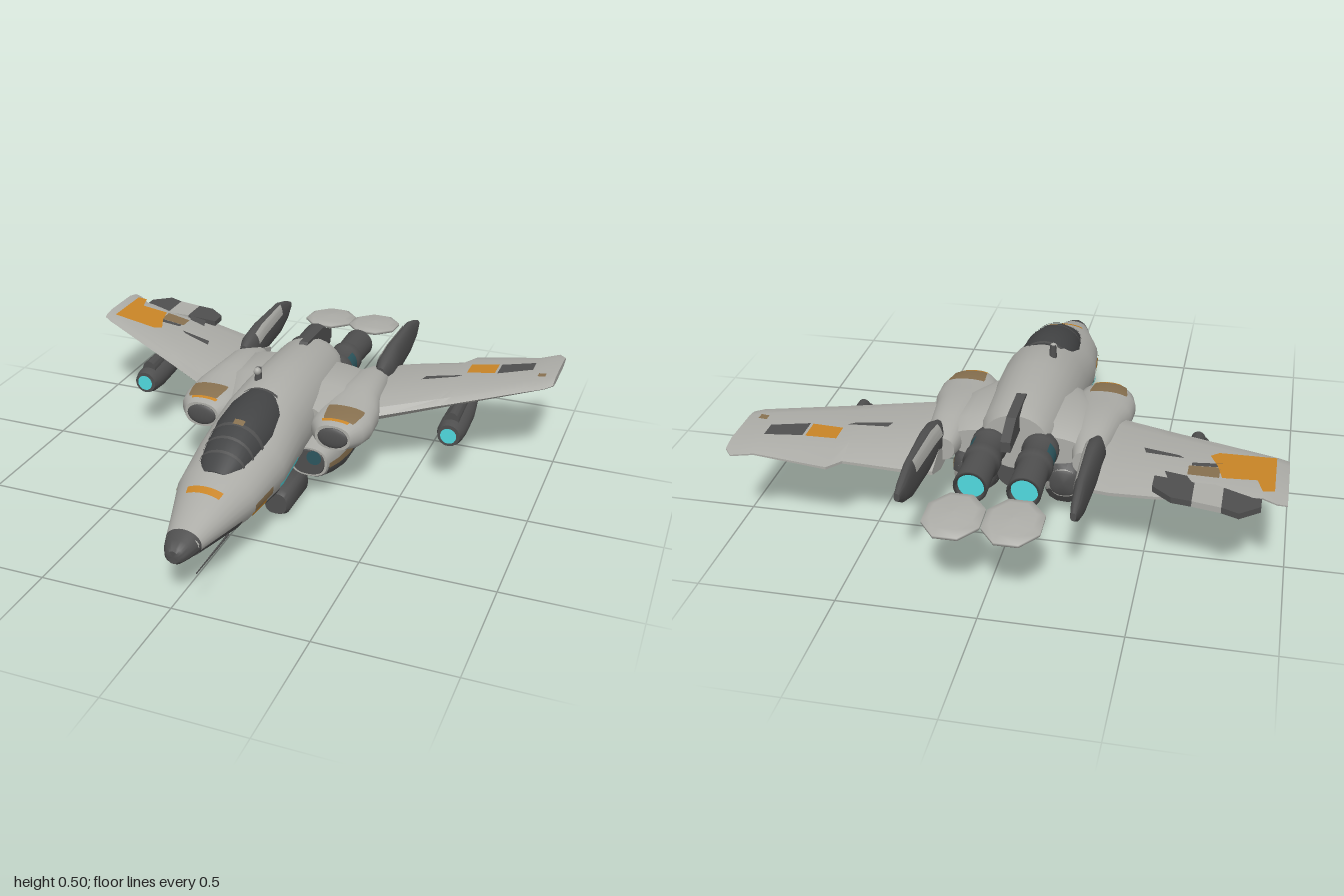
import * as THREE from 'three';
import { toCreasedNormals } from 'three/addons/utils/BufferGeometryUtils.js';

const mat = (name, color) => new THREE.MeshStandardMaterial({ name, color, side: THREE.DoubleSide });

// Joins cross-section rings into a skin; closed rings get end caps.
function skin(rings, { closed = true, flip = false, crease = 0.7 } = {}) {
  const n = rings[0].length, pos = rings.flat(2), idx = [];
  const tri = (a, b, c) => idx.push(...(flip ? [a, c, b] : [a, b, c]));
  for (let i = 0; i < rings.length - 1; i++) {
    for (let j = 0; j < (closed ? n : n - 1); j++) {
      const k = (j + 1) % n, a = i * n, b = a + n;
      tri(a + j, a + k, b + j);
      tri(a + k, b + k, b + j);
    }
  }
  if (closed) {
    [0, rings.length - 1].forEach((r, end) => {
      const c = pos.length / 3;
      pos.push(...[0, 1, 2].map(d => rings[r].reduce((s, p) => s + p[d], 0) / n));
      for (let j = 0; j < n; j++) {
        const a = r * n + j, b = r * n + (j + 1) % n;
        if (end) tri(c, a, b); else tri(c, b, a);
      }
    });
  }
  const g = new THREE.BufferGeometry();
  g.setAttribute('position', new THREE.Float32BufferAttribute(pos, 3));
  g.setIndex(idx);
  return toCreasedNormals(g, crease);
}

// Rounded cross-section arc at z, given half width, bottom and top.
function arc([z, w, yb, yt], cx = 0, p = 1, a0 = 0, a1 = 2 * Math.PI, n = 28, grow = 0) {
  const pts = [], pw = v => Math.sign(v) * Math.abs(v) ** p;
  const full = a1 - a0 > 6.28;
  for (let i = 0; i < n; i++) {
    const a = a0 + (a1 - a0) * i / (full ? n : n - 1);
    pts.push([cx + (w + grow) * pw(Math.cos(a)), (yb + yt) / 2 + ((yt - yb) / 2 + grow) * pw(Math.sin(a)), z]);
  }
  return pts;
}
const loft = (stations, cx = 0, p = 1) => skin(stations.map(s => arc(s, cx, p)));

// Stations: z, half width, bottom, top
const HULL = [[-0.38, .125, .22, .44], [-0.32, .145, .18, .46], [0, .165, .11, .47], [.2, .17, .10, .455],
  [.4, .175, .10, .385], [.62, .15, .115, .335], [.8, .092, .135, .275], [.9, .062, .15, .24]];
const LOWER = [[-.345, .05, .1, .21], [-.32, .075, .06, .235], [-.25, .09, .04, .245], [-.05, .095, .045, .245],
  [.06, .09, .075, .235], [.15, .075, .105, .225]];
const SHOULDER = [[-.42, .05, .25, .34], [-.3, .075, .23, .375], [-.14, .095, .215, .375], [-.06, .115, .215, .365],
  [.04, .12, .215, .355], [.1, .105, .22, .35], [.15, .07, .235, .335]];
const THROAT = [[-.475, .061, .249, .371], [-.405, .061, .249, .371]];

function stationAt(S, z) {
  const i = Math.max(0, Math.min(S.length - 2, S.findIndex(s => s[0] > z) - 1));
  const t = (z - S[i][0]) / (S[i + 1][0] - S[i][0]);
  return S[i].map((v, k) => v + (S[i + 1][k] - v) * t);
}
// Painted panel hugging a lofted body
function panel(S, z0, z1, deg0, deg1, cx = 0, p = 1, grow = .004) {
  const zs = [z0, ...S.map(s => s[0]).filter(z => z > z0 && z < z1), z1], r = Math.PI / 180;
  return skin(zs.map(z => arc(stationAt(S, z), cx, p, deg0 * r, deg1 * r, 15, grow)), { closed: false });
}

// Wing height and thickness along the span
const wingY = x => .29 + (Math.abs(x) - .38) * .14;
const wingT = x => Math.max(.03, .085 - (Math.abs(x) - .38) * .09);
function wing(sections, s) {
  return skin(sections.map(([x, le, te]) => {
    const y = wingY(x), h = wingT(x) / 2, at = f => le + (te - le) * f;
    return [[1, .15], [.8, 1], [.2, 1], [.06, .6], [0, 0], [.06, -.6], [.2, -1], [.8, -1], [1, -.15]]
      .map(([f, k]) => [s * x, y + h * k, at(f)]);
  }), { flip: s < 0, crease: .5 });
}
// Painted polygon on the wing's upper or lower face
function wingPaint(points, up = 1) {
  const g = new THREE.BufferGeometry(), idx = [];
  g.setAttribute('position', new THREE.Float32BufferAttribute(
    points.flatMap(([x, z]) => [x, wingY(x) + up * (wingT(x) / 2 + .004), z]), 3));
  const ccw = THREE.ShapeUtils.area(points.map(([x, z]) => new THREE.Vector2(x, z))) > 0;
  for (let i = 1; i < points.length - 1; i++) idx.push(...(ccw === (up > 0) ? [0, i + 1, i] : [0, i, i + 1]));
  g.setIndex(idx);
  g.computeVertexNormals();
  return g;
}
// Flat plate from a side outline in (z, y)
function sidePlate(points, thick) {
  const shape = new THREE.Shape(points.map(([z, y]) => new THREE.Vector2(-z, y)));
  const g = new THREE.ExtrudeGeometry(shape, { depth: thick, bevelEnabled: false });
  return g.translate(0, 0, -thick / 2).rotateY(Math.PI / 2);
}

export function createModel() {
  const model = new THREE.Group();
  const grey = mat('hullGrey', 0xacaca7), dark = mat('darkGrey', 0x4f4f4f), glass = mat('canopyGlass', 0x424344);
  const orange = mat('orangePaint', 0xc88426), tan = mat('wornTan', 0x87704f), cyan = mat('cyanGlow', 0x50d8de);
  const teal = mat('dimTeal', 0x2c565e);
  const add = (name, geo, m, x = 0, y = 0, z = 0) => {
    const mesh = new THREE.Mesh(geo, m);
    mesh.name = name;
    mesh.position.set(x, y, z);
    model.add(mesh);
    return mesh;
  };

  // Fuselage and nose
  add('fuselage', loft(HULL), grey);
  add('noseCone', loft([[.885, .067, .146, .246], [.93, .052, .15, .23], [.96, .036, .153, .218], [.97, .022, .16, .208]]), dark);
  add('chin', panel(HULL, .68, .895, 195, 345), dark);
  add('noseStripe', panel(HULL, .7, .73, 58, 122), orange);
  add('rearDeck', loft([[-.36, .25, .24, .36], [-.3, .28, .22, .39], [-.1, .27, .22, .39], [.06, .2, .23, .36]], 0, .7), grey);
  add('belly', loft([[-.33, .08, .1, .22], [-.25, .12, .06, .24], [0, .12, .07, .24], [.15, .1, .1, .22]]), dark);
  add('noseProbe', new THREE.CylinderGeometry(.002, .004, .26, 6).rotateX(Math.PI / 2), dark, .1, .165, .87);

  // Canopy and frames
  const CANOPY = [[.19, .10, .26, .46], [.26, .112, .25, .462], [.36, .114, .23, .45], [.5, .096, .24, .408], [.57, .082, .26, .37], [.63, .055, .28, .335]];
  add('canopy', loft(CANOPY), glass);
  for (const [a, b] of [[.19, .205], [.43, .445], [.5, .51], [.555, .565]]) add('canopyFrame', panel(CANOPY, a, b, 0, 180), dark);
  add('cockpitLabel', panel(CANOPY, .415, .44, 74, 95, 0, 1, .006), tan);

  // Spine details
  add('dorsalFin', sidePlate([[-.22, .44], [-.26, .47], [-.44, .465], [-.54, .42], [-.54, .38], [-.22, .38]], .036), dark);
  add('antennaMast', new THREE.CylinderGeometry(.012, .016, .05, 8), dark, -.05, .475, .1);
  add('antennaBall', new THREE.SphereGeometry(.015, 10, 8), grey, -.05, .49, .11);

  // Wings
  add('leftWing', wing([[.265, -.02, -.56], [.38, -.08, -.59], [.58, -.19, -.62], [.62, -.21, -.68], [.88, -.35, -.695], [.95, -.385, -.735], [.98, -.42, -.7]], 1), grey);
  add('rightWing', wing([[.265, -.02, -.56], [.38, -.08, -.6], [.55, -.17, -.63], [.9, -.35, -.64], [.95, -.375, -.68], [.985, -.4, -.69]], -1), grey);
  const flap = (name, m, pts) => {
    const g = new THREE.ExtrudeGeometry(new THREE.Shape(pts.map(([x, z]) => new THREE.Vector2(x, -z))), { depth: .022, bevelEnabled: false });
    add(name, g.rotateX(-Math.PI / 2), m, 0, wingY(.7) + .005, 0);
  };
  flap('outerFlap', dark, [[-.9, -.58], [-.77, -.58], [-.77, -.72], [-.83, -.745], [-.9, -.69]]);
  flap('middleFlap', grey, [[-.77, -.58], [-.67, -.58], [-.67, -.7], [-.77, -.72]]);
  flap('innerFlap', dark, [[-.67, -.58], [-.53, -.56], [-.53, -.63], [-.6, -.69], [-.67, -.7]]);

  // Wing paint
  const paints = [
    [orange, 1, [[-.94, -.41], [-.94, -.63], [-.9, -.63], [-.88, -.56], [-.76, -.55], [-.74, -.47], [-.71, -.4], [-.74, -.38]]],
    [tan, 1, [[-.75, -.48], [-.75, -.55], [-.64, -.53], [-.64, -.47]]],
    [dark, 1, [[-.64, -.54], [-.56, -.51], [-.58, -.57], [-.66, -.58]]],
    [dark, 1, [[-.78, -.455], [-.65, -.45], [-.65, -.47], [-.76, -.48]]],
    [orange, 1, [[.63, -.45], [.63, -.53], [.74, -.55], [.74, -.46]]],
    [dark, 1, [[.75, -.46], [.75, -.55], [.88, -.59], [.88, -.52]]],
    [tan, 1, [[.91, -.46], [.91, -.49], [.94, -.49], [.94, -.46]]],
  ];
  for (const s of [-1, 1]) {
    paints.push([dark, 1, [[s * .47, -.35], [s * .6, -.4], [s * .62, -.42], [s * .48, -.385]]]);
    paints.push([dark, -1, [[s * .5, -.28], [s * .5, -.5], [s * .72, -.53], [s * .72, -.4]]]);
    paints.push([dark, -1, [[s * .78, -.44], [s * .78, -.57], [s * .94, -.6], [s * .94, -.48]]]);
  }
  for (const [m, up, pts] of paints) add('wingMarking', wingPaint(pts, up), m);

  // Shared profiles for paired parts
  const nozzle = new THREE.LatheGeometry([[.05, .3], [.068, .37], [.068, .4], [.06, .41], [.06, .47], [.068, .48], [.068, .52], [.058, .53],
    [.062, .68], [.05, .68], [.045, .6]].map(p => new THREE.Vector2(...p)), 24).rotateX(-Math.PI / 2);
  const plate = new THREE.LatheGeometry([[0, -.02], [.085, -.014], [.108, -.004], [.108, .006], [.08, .018], [0, .022]]
    .map(p => new THREE.Vector2(...p)), 8).rotateY(Math.PI / 8).scale(1, 1, 1.2);
  const TAIL = [[-.87, .01, .345, .375], [-.82, .018, .31, .395], [-.73, .023, .275, .42], [-.5, .034, .26, .415], [-.4, .038, .26, .395], [-.34, .02, .28, .37]];

  for (const s of [-1, 1]) {
    // Angle range on the outer side, measured from straight outward and positive upward
    const outer = (lo, hi) => s > 0 ? [lo, hi] : [180 - hi, 180 - lo];

    // Shoulder intakes
    add('shoulderIntake', loft(SHOULDER, s * .27, .85), grey);
    add('intakeMouth', new THREE.SphereGeometry(1, 18, 10).scale(.06, .042, .012), dark, s * .27, .285, .15);
    add('shoulderPanel', panel(SHOULDER, .02, .115, ...outer(50, 115), s * .27, .85), tan);
    add('shoulderTrim', panel(SHOULDER, .115, .128, ...outer(60, 120), s * .27, .85), orange);

    // Lower nacelles: grey above a thin worn strip, dark below and behind
    add('lowerNacelle', loft(LOWER, s * .175, .8), grey);
    add('nacelleUnderside', panel(LOWER, -.28, .14, ...outer(-170, -6), s * .175, .8, .003), dark);
    add('nacelleTail', panel(LOWER, -.344, -.275, 0, 360, s * .175, .8, .003), dark);
    add('nacelleTailCap', loft([[-.352, .04, .11, .2], [-.343, .054, .098, .212]], s * .175, .8), dark);
    add('nacelleStrip', panel(LOWER, -.275, .14, ...outer(-9, 2), s * .175, .8, .006), tan);
    add('inletMouth', loft([[.145, .068, .11, .22], [.156, .062, .115, .215]], s * .175, .8), dark);
    add('inletGlow', new THREE.CircleGeometry(.03, 16), teal, s * .2, .19, .16);

    // Fuselage side paint
    add('sideLight', panel(HULL, .25, .43, ...outer(-17, -10)), cyan);
    add('sideTan', panel(HULL, .49, .62, ...outer(-13, 1)), tan);
    add('sideEdge', panel(HULL, .53, .63, ...outer(-20, -13)), orange);
    add('sideDark', panel(HULL, .42, .52, ...outer(-30, -20)), dark);

    // Engine nozzles and floating rear plates
    add('engineNozzle', nozzle, dark, s * .095, .31);
    add('throatPanel', panel(THROAT, -.47, -.41, ...outer(-50, 50), s * .095, 1, .003).translate(0, 0, 0), teal);
    add('engineGlow', new THREE.CircleGeometry(.049, 24).rotateY(Math.PI), cyan, s * .095, .31, -.665);
    add('rearPlate', plate, grey, s * .102, .318, -.88).rotation.x = -.08;

    // Tail fins, tapering to the rear, with a pale inner stripe
    add('tailFin', loft(TAIL, s * .3, .85), dark);
    add('tailFinStripe', panel(TAIL, -.72, -.42, ...outer(115, 165), s * .3, .85), grey);

    // Underwing pods
    add('wingPod', loft([[-.5, .015, .26, .28], [-.42, .04, .225, .295], [-.32, .052, .195, .3], [-.2, .055, .185, .295], [-.14, .052, .188, .292], [-.112, .044, .196, .284]], s * .65), dark);
    add('podGlow', new THREE.CircleGeometry(.032, 16), cyan, s * .65, .24, -.108);
    add('podPylon', loft([[-.42, .02, .25, .33], [-.15, .028, .25, .32]], s * .65), dark);

    // Belly canisters
    add('bellyCanister', loft([[.1, .043, .015, .1], [.115, .053, .005, .112], [.3, .053, .005, .112], [.32, .043, .015, .1]], s * .108, .75), dark);
    add('wingRootGun', new THREE.CylinderGeometry(.014, .014, .14, 8).rotateX(Math.PI / 2), dark, s * .3, .22, -.05);
  }

  // Belly keel and chin sensor
  add('bellyKeel', sidePlate([[.32, .12], [.32, .02], [.14, 0], [.1, .12]], .012), dark);
  add('chinSensor', sidePlate([[.56, .13], [.53, .05], [.49, .02], [.465, .05], [.47, .13]], .035), dark);
  return model;
}
